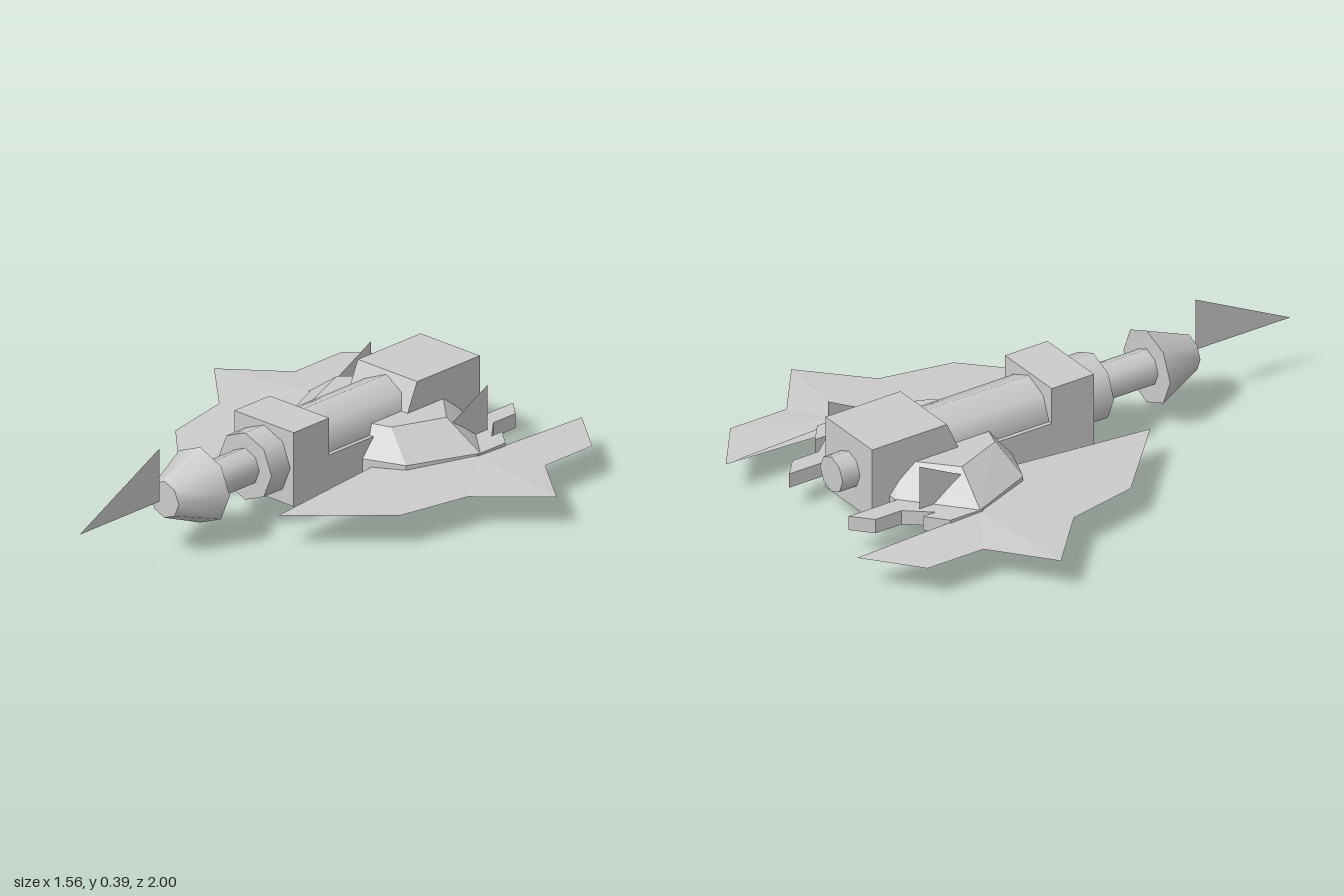
import * as THREE from 'three';
import { ConvexGeometry } from 'three/addons/geometries/ConvexGeometry.js';

const AXIS_Y = 0.203;
const smooth = new THREE.MeshStandardMaterial({ color: 0xcccccc });
const flat = new THREE.MeshStandardMaterial({ color: 0xcccccc, flatShading: true });
const thin = new THREE.MeshStandardMaterial({ color: 0xcccccc, flatShading: true, side: THREE.DoubleSide });

function mesh(name, geometry, material) {
  const m = new THREE.Mesh(geometry, material);
  m.name = name;
  return m;
}

// Eight-sided tube along z from rear z0 to front z1
function barrel(name, rRear, rFront, z0, z1) {
  const g = new THREE.CylinderGeometry(rFront, rRear, z1 - z0, 8);
  g.rotateX(Math.PI / 2);
  g.translate(0, AXIS_Y, (z0 + z1) / 2);
  return mesh(name, g, smooth);
}

// Flat-faced surface from a list of corner triples
function triangles(points) {
  const g = new THREE.BufferGeometry();
  g.setAttribute('position', new THREE.Float32BufferAttribute(points.flat(), 3));
  g.computeVertexNormals();
  return g;
}

// Hull: side profile (z, y) extruded across x
function hull() {
  const profile = [[0.12, 0.07], [0.12, 0.335], [-0.05, 0.335], [-0.05, 0.203], [-0.41, 0.203],
    [-0.47, 0.335], [-0.77, 0.335], [-0.77, 0.07], [-0.38, 0], [-0.05, 0]];
  const shape = new THREE.Shape(profile.map(([z, y]) => new THREE.Vector2(z, y)));
  const g = new THREE.ExtrudeGeometry(shape, { depth: 0.27, bevelEnabled: false });
  g.rotateY(-Math.PI / 2);
  g.translate(0.135, 0, 0);
  return mesh('hull', g, flat);
}

// Wing: thin lens whose outline rises to a ridge point by the pod
function wing(s) {
  const outline = [[0.38, -1], [0.57, -0.85], [0.57, -0.625], [0.78, -0.46], [0.566, -0.26],
    [0.513, 0.005], [0.222, 0.285], [0.165, -0.22], [0.16, -0.35]];
  const edge = outline.map(([x, z]) => [s * x, 0.115, z]);
  const tris = [];
  for (const up of [1, -1]) {
    const ridge = [s * 0.38, 0.115 + up * 0.018, -0.51];
    for (let i = 0; i < edge.length - 1; i++) {
      const a = edge[i], b = edge[i + 1];
      tris.push(...(up * s > 0 ? [ridge, b, a] : [ridge, a, b]));
    }
  }
  return mesh('wing', triangles(tris.flat().length ? tris : []), thin);
}

// Pod: wide belt with smaller bevelled top and bottom
function pod(s) {
  const belt = [[0.1, -0.7], [0.165, -0.7], [0.385, -0.51], [0.28, -0.265], [0.1, -0.195]];
  const cap = [[0.1, -0.62], [0.13, -0.6], [0.25, -0.49], [0.175, -0.305], [0.1, -0.28]];
  const points = [];
  for (const [ring, y] of [[cap, 0.05], [belt, 0.085], [belt, 0.14], [cap, 0.235]]) {
    for (const [x, z] of ring) points.push(new THREE.Vector3(s * x, y, z));
  }
  return mesh('pod', new ConvexGeometry(points), flat);
}

// Prong: bar with a slanted rear end
function prong(s, x0, x1, zInner, zOuter) {
  const points = [];
  for (const y of [0.088, 0.14]) {
    for (const [x, z] of [[x0, -0.5], [x1, -0.5], [x0, zInner], [x1, zOuter]]) {
      points.push(new THREE.Vector3(s * x, y, z));
    }
  }
  return mesh('rearProng', new ConvexGeometry(points), flat);
}

export function createModel() {
  const model = new THREE.Group();
  model.add(hull());

  // Central cannon and rear exhaust
  model.add(
    barrel('mainBarrel', 0.12, 0.12, -0.5, -0.03),
    barrel('frontCollar', 0.12, 0.12, 0.1, 0.21),
    barrel('neck', 0.065, 0.065, 0.2, 0.43),
    barrel('noseCone', 0.135, 0.065, 0.425, 0.595),
    barrel('rearExhaust', 0.065, 0.065, -0.84, -0.75)
  );

  // Flat blade ahead of the nose
  model.add(mesh('noseBlade', triangles([[0, AXIS_Y, 1], [0, AXIS_Y, 0.62], [0, 0.393, 0.62]]), thin));

  // Mirrored sides
  for (const s of [1, -1]) {
    const side = new THREE.Group();
    side.name = s > 0 ? 'leftSide' : 'rightSide';
    side.add(wing(s), pod(s));
    side.add(prong(s, 0.172, 0.24, -0.89, -0.83));
    side.add(prong(s, 0.24, 0.312, -0.725, -0.64));
    side.add(prong(s, 0.312, 0.385, -0.69, -0.63));
    const x = s * 0.265;
    side.add(mesh('podFin', triangles([[x, 0.21, -0.49], [x, 0.3, -0.67], [x, 0.11, -0.67]]), thin));
    model.add(side);
  }
  return model;
}
